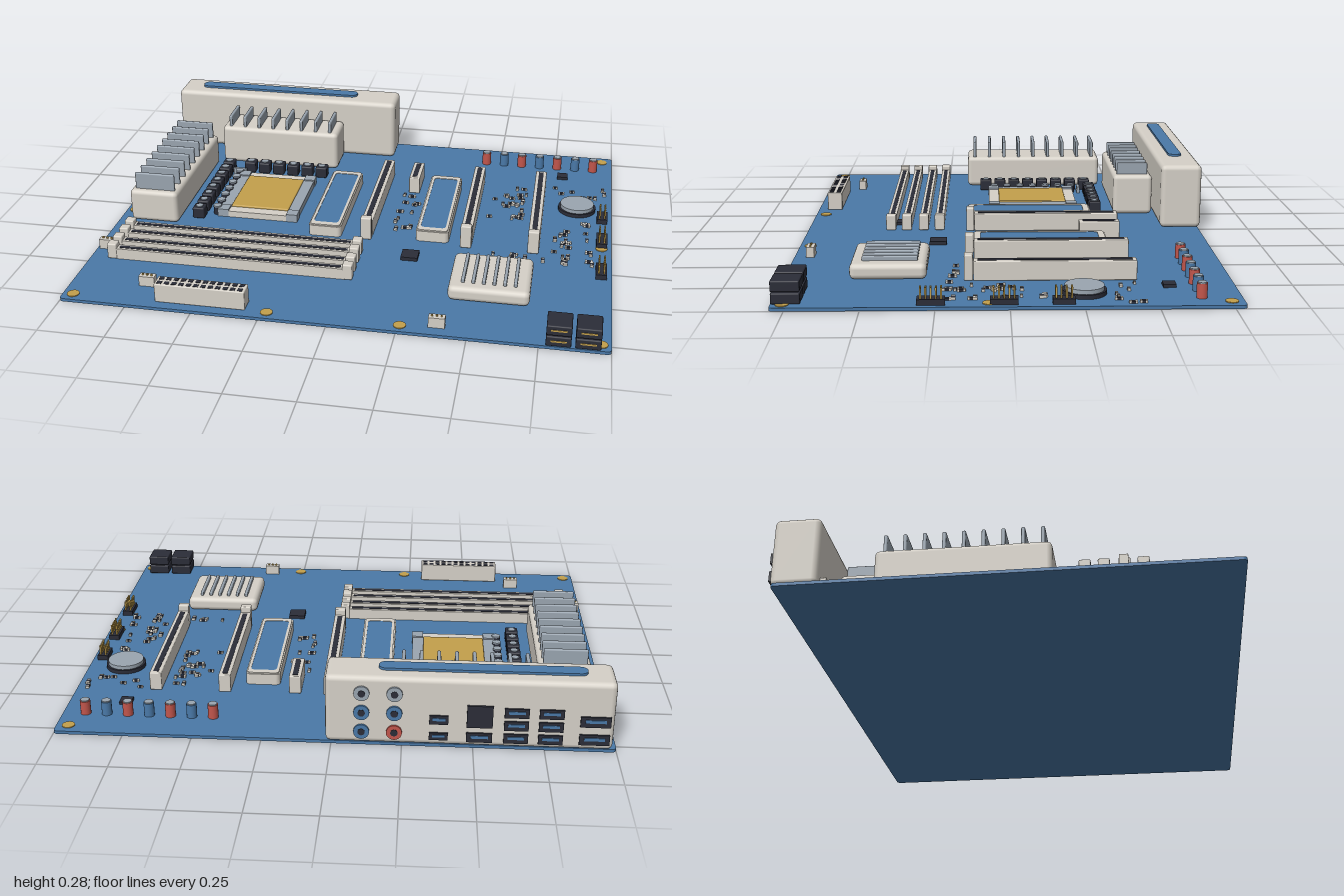
import * as THREE from 'three';
import { RoundedBoxGeometry } from 'three/addons/geometries/RoundedBoxGeometry.js';

const mat = (name, color) => Object.assign(new THREE.MeshStandardMaterial({ color }), { name });

export function createModel() {
  const root = new THREE.Group();
  root.name = 'circuitBoard';
  const blue = mat('board blue', 0x4a79a8);
  const white = mat('warm white', 0xd6d1c8);
  const dark = mat('charcoal', 0x2b2d38);
  const steel = mat('steel', 0x9aa5b0);
  const gold = mat('gold', 0xc4a04c);
  const red = mat('red', 0xc2564c);
  const TOP = 0.012;

  const add = (name, geo, m, x, y, z, parent = root) => {
    const mesh = new THREE.Mesh(geo, m);
    mesh.name = name;
    mesh.position.set(x, y, z);
    parent.add(mesh);
    return mesh;
  };
  // box spanning x0..x1, y0..y1, z0..z1, optionally rounded
  const box = (name, m, x0, x1, y0, y1, z0, z1, r = 0) => {
    const s = [x1 - x0, y1 - y0, z1 - z0];
    const geo = r ? new RoundedBoxGeometry(...s, 2, r) : new THREE.BoxGeometry(...s);
    return add(name, geo, m, (x0 + x1) / 2, (y0 + y1) / 2, (z0 + z1) / 2);
  };
  // box centred on x, z and standing on y0
  const block = (name, m, x, z, w, d, y0, y1, r = 0) =>
    box(name, m, x - w / 2, x + w / 2, y0, y1, z - d / 2, z + d / 2, r);
  const disc = (name, m, x, z, r, y0, y1, sides = 20) =>
    add(name, new THREE.CylinderGeometry(r, r, y1 - y0, sides), m, x, (y0 + y1) / 2, z);
  // flat rounded plate, with an optional rounded hole
  const roundRect = (P, w, d, r) => {
    const p = new P(), a = w / 2, b = d / 2;
    p.moveTo(a, b - r);
    p.absarc(a - r, b - r, r, 0, Math.PI / 2);
    p.absarc(r - a, b - r, r, Math.PI / 2, Math.PI);
    p.absarc(r - a, r - b, r, Math.PI, Math.PI * 1.5);
    p.absarc(a - r, r - b, r, Math.PI * 1.5, Math.PI * 2);
    p.closePath();
    return p;
  };
  const plate = (name, m, x, z, w, d, r, y0, y1, hole) => {
    const shape = roundRect(THREE.Shape, w, d, r);
    if (hole) shape.holes.push(roundRect(THREE.Path, ...hole));
    const geo = new THREE.ExtrudeGeometry(shape, { depth: y1 - y0, bevelEnabled: false, curveSegments: 6 });
    return add(name, geo.rotateX(-Math.PI / 2), m, x, y0, z);
  };

  // board and mounting rings
  plate('board', blue, 0, 0.005, 2, 1.59, 0.015, 0, TOP);
  for (const [x, z] of [[0.955, -0.745], [-0.96, 0.76], [-0.225, 0.76], [0.26, 0.76], [-0.965, 0.07], [0.96, 0.07], [0.965, 0.76]])
    disc('mountingRing', gold, x, z, 0.023, TOP, TOP + 0.003);

  // rear port cover with inlay
  box('rearCover', white, -0.985, 0.02, TOP, 0.272, -0.8, -0.635, 0.02);
  plate('rearCoverInlay', blue, -0.527, -0.717, 0.725, 0.054, 0.026, 0.268, 0.281);

  // rear ports
  const port = (x, y, w, h) => {
    box('portShell', dark, x - w / 2, x + w / 2, y - h / 2, y + h / 2, -0.807, -0.795);
    box('portTongue', blue, x - w * 0.34, x + w * 0.34, y - h * 0.05, y + h * 0.25, -0.81, -0.805);
  };
  const jack = (x, y, m) => {
    add('jackRing', new THREE.CylinderGeometry(0.028, 0.028, 0.014, 20).rotateX(Math.PI / 2), m, x, y, -0.801);
    add('jackHole', new THREE.CylinderGeometry(0.013, 0.013, 0.004, 14).rotateX(Math.PI / 2), dark, x, y, -0.808);
  };
  [[-0.108, steel, blue, blue], [-0.223, steel, blue, red]].forEach(([x, ...ms]) =>
    ms.forEach((m, i) => jack(x, 0.21 - i * 0.075, m)));
  port(-0.378, 0.115, 0.066, 0.034);
  port(-0.378, 0.05, 0.066, 0.028);
  box('networkPort', dark, -0.565, -0.475, 0.09, 0.175, -0.808, -0.795);
  port(-0.52, 0.05, 0.09, 0.036);
  for (const x of [-0.647, -0.767]) for (const y of [0.05, 0.1, 0.15]) port(x, y, 0.085, 0.036);
  for (const y of [0.055, 0.125]) port(-0.918, y, 0.105, 0.04);

  // power heatsinks with fins
  box('rearHeatsink', white, -0.735, -0.21, TOP, 0.18, -0.63, -0.465, 0.018);
  for (let i = 0; i < 8; i++) block('rearFin', steel, -0.7 + i * 0.0645, -0.547, 0.014, 0.13, 0.175, 0.228, 0.005);
  box('sideHeatsink', white, -0.95, -0.75, TOP, 0.147, -0.45, 0.16, 0.018);
  for (let i = 0; i < 9; i++) block('sideFin', steel, -0.848, -0.418 + i * 0.0682, 0.165, 0.014, 0.142, 0.216, 0.005);

  // power chokes and capacitors around the socket
  const choke = (x, z) => {
    block('choke', dark, x, z, 0.05, 0.05, TOP, 0.06, 0.006);
    disc('chokeTop', steel, x, z, 0.015, 0.06, 0.063, 14);
  };
  for (let i = 0; i < 8; i++) choke(-0.682, -0.375 + i * 0.0645);
  for (let i = 0; i < 6; i++) choke(-0.587 + i * 0.0645, -0.39);
  for (let i = 0; i < 7; i++) {
    const z = -0.31 + i * 0.058;
    disc('socketCapacitor', dark, -0.617, z, 0.017, TOP, 0.045, 14);
    disc('socketCapacitorTop', steel, -0.617, z, 0.017, 0.045, 0.05, 14);
  }
  block('socketLever', steel, -0.625, -0.345, 0.06, 0.012, TOP, 0.04);

  // processor socket
  box('socketBase', dark, -0.575, -0.31, TOP, 0.03, -0.28, 0.03);
  for (const x of [-0.585, -0.298]) block('socketRail', steel, x, -0.125, 0.044, 0.29, TOP, 0.04);
  for (const z of [-0.292, 0.042]) block('socketBar', white, -0.442, z, 0.25, 0.044, TOP, 0.038);
  for (const x of [-0.587, -0.296]) for (const z of [-0.292, 0.042])
    block('socketCorner', steel, x, z, 0.046, 0.046, TOP, 0.045);
  box('processorPlate', gold, -0.563, -0.32, 0.03, 0.046, -0.27, 0.02, 0.005);

  // drive covers with inlays
  for (const [x, z] of [[-0.138, -0.1], [0.293, -0.127]]) {
    plate('driveCover', white, x, z, 0.132, 0.515, 0.018, TOP, 0.056);
    plate('driveCoverRim', white, x, z, 0.122, 0.505, 0.016, 0.056, 0.061, [0.1, 0.455, 0.015]);
    plate('driveCoverInlay', blue, x, z, 0.1, 0.455, 0.015, 0.056, 0.059);
  }

  // expansion slots
  const slot = (x, z0, z1, latch) => {
    box('expansionSlot', white, x - 0.023, x + 0.023, TOP, 0.084, z0, z1, 0.004);
    box('slotGroove', dark, x - 0.01, x + 0.01, 0.08, 0.0855, z0 + 0.015, z1 - 0.015);
    if (latch) block('slotLatch', white, x, z1 + 0.017, 0.044, 0.032, TOP, 0.107, 0.005);
  };
  for (const x of [0.03, 0.43, 0.695]) slot(x, -0.455, 0.125, true);
  slot(0.162, -0.45, -0.29, false);

  // memory slots
  for (const z of [0.267, 0.331, 0.4, 0.464]) {
    box('memorySlot', white, -0.9, 0.005, TOP, 0.056, z - 0.018, z + 0.018);
    box('memoryGroove', dark, -0.885, -0.01, 0.053, 0.0575, z - 0.008, z + 0.008);
    for (const x of [-0.912, 0.017]) block('memoryLatch', white, x, z, 0.038, 0.04, TOP, 0.075, 0.005);
  }

  // main power connector
  box('powerConnector', white, -0.645, -0.305, TOP, 0.087, 0.7, 0.762, 0.004);
  for (let i = 0; i < 12; i++) for (const z of [0.716, 0.746])
    block('powerSocket', dark, -0.627 + i * 0.0276, z, 0.018, 0.018, 0.084, 0.0885);

  // fan headers
  for (const [x, z] of [[-0.71, 0.647], [0.39, 0.74], [-0.96, 0.4], [-0.915, -0.628]]) {
    block('fanHeader', white, x, z, 0.06, 0.03, TOP, 0.052);
    for (const dx of [-0.017, 0, 0.017]) block('fanPin', gold, x + dx, z, 0.006, 0.006, 0.05, 0.058);
  }

  // stacked drive connectors
  for (const x of [0.818, 0.92]) for (const y of [TOP, 0.055]) {
    box('driveConnector', dark, x - 0.044, x + 0.044, y, y + 0.039, 0.7, 0.799, 0.005);
    box('driveContact', gold, x - 0.028, x + 0.028, y + 0.018, y + 0.024, 0.797, 0.801);
  }

  // chipset heatsink
  box('chipsetHeatsink', white, 0.405, 0.705, TOP, 0.07, 0.29, 0.565, 0.02);
  for (let i = 0; i < 6; i++) block('chipsetRib', steel, 0.457 + i * 0.0386, 0.423, 0.013, 0.2, 0.066, 0.087, 0.005);

  // coin battery
  disc('batteryHolder', dark, 0.855, -0.257, 0.077, TOP, 0.027, 32);
  disc('battery', steel, 0.855, -0.257, 0.069, 0.027, 0.042, 32);

  // audio capacitors
  for (let i = 0; i < 7; i++) {
    const x = 0.442 + i * 0.0788;
    disc('audioCapacitor', i % 2 ? blue : red, x, -0.65, 0.019, TOP, 0.065, 18);
    disc('audioCapacitorTop', steel, x, -0.65, 0.016, 0.065, 0.069, 18);
  }

  // pin headers on the left edge
  for (const [z, n] of [[-0.18, 4], [0.02, 5], [0.265, 5]]) {
    block('pinHeader', dark, 0.96, z, 0.042, n * 0.019, TOP, 0.032);
    for (let i = 0; i < n; i++) for (const dx of [-0.01, 0.01])
      block('headerPin', gold, 0.96 + dx, z + (i - (n - 1) / 2) * 0.0175, 0.006, 0.006, 0.03, 0.071);
  }

  // chips
  block('chip', dark, 0.225, 0.265, 0.066, 0.066, TOP, 0.026);
  block('chip', dark, 0.785, -0.558, 0.045, 0.045, TOP, 0.024);
  block('chip', dark, -0.07, 0.43, 0.05, 0.03, TOP, 0.024);

  // scattered small components
  let seed = 7;
  const rnd = () => (seed = (seed * 16807) % 2147483647) / 2147483647;
  for (const [x0, x1, z0, z1, n] of [[0.5, 0.64, -0.42, -0.1, 24], [0.12, 0.2, -0.26, 0.06, 12],
    [0.76, 0.84, -0.05, 0.2, 14], [0.74, 0.97, -0.45, -0.36, 8], [0.88, 0.92, -0.15, 0.2, 8], [0.43, 0.97, 0.18, 0.22, 8]])
    for (let i = 0; i < n; i++) {
      const x = x0 + rnd() * (x1 - x0), z = z0 + rnd() * (z1 - z0), turn = rnd() > 0.5;
      const s = 0.8 + rnd() * 0.5, w = 0.012 * s, e = 0.006 * s, off = 0.009 * s;
      block('smallPart', dark, x, z, w, w, TOP, TOP + 0.008);
      for (const k of [-off, off])
        block('smallPartEnd', white, turn ? x : x + k, turn ? z + k : z, turn ? w : e, turn ? e : w, TOP, TOP + 0.009);
    }
  return root;
}
